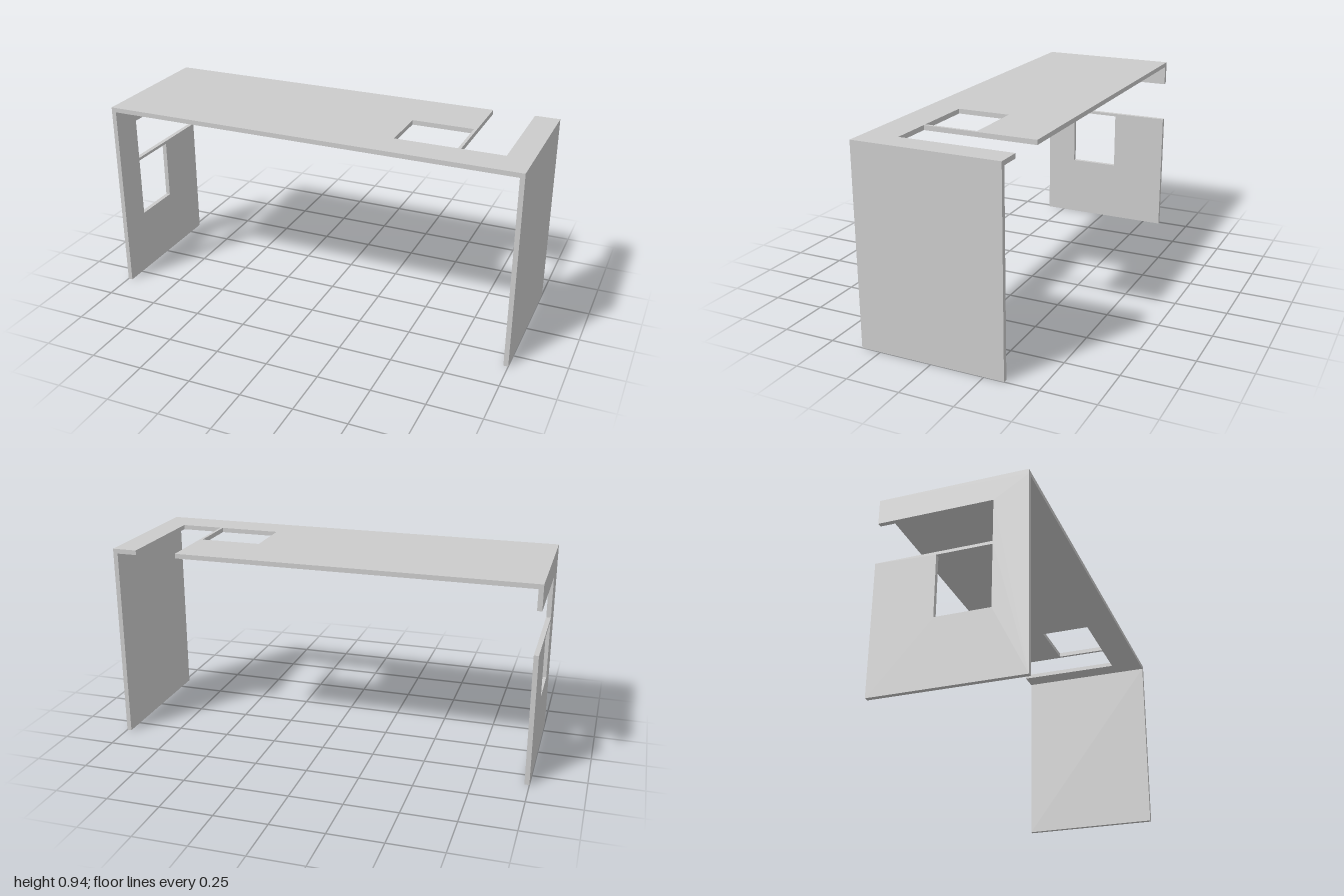
import * as THREE from 'three';

const H = 0.937;   // overall height
const D = 0.343;   // half depth
const T = 0.022;   // board thickness
const CUT_FRONT = 0.187, HOLE_BACK = -0.062; // depth limits of the cut-outs

// Board distances measured from the outer corner where it meets its neighbour
const SLOT = [0.118, 0.318], HOLE = [0.332, 0.624];

const material = new THREE.MeshStandardMaterial({ color: 0xcccccc });

const toPath = (points, Type) => new Type(points.map(([x, y]) => new THREE.Vector2(x, y)));

function board(name, outline, hole) {
  const shape = toPath(outline, THREE.Shape);
  if (hole) shape.holes.push(toPath(hole, THREE.Path));
  const geometry = new THREE.ExtrudeGeometry(shape, { depth: T, bevelEnabled: false });
  const mesh = new THREE.Mesh(geometry, material);
  mesh.name = name;
  return mesh;
}

export function createModel() {
  const group = new THREE.Group();
  group.name = 'desk';

  // Top board: slot open to the back and a window beside it, near +x
  const [s0, s1] = SLOT.map((d) => 1 - d);
  const [h0, h1] = HOLE.map((d) => 1 - d);
  const top = board('topBoard',
    [[-1, -D], [s1, -D], [s1, CUT_FRONT], [s0, CUT_FRONT], [s0, -D], [1, -D], [1, D], [-1, D]],
    [[h1, HOLE_BACK], [h1, CUT_FRONT], [h0, CUT_FRONT], [h0, HOLE_BACK]]);
  top.rotation.x = Math.PI / 2;
  top.position.y = H;

  // Side board at -x: the same cut-outs, measured down from the top
  const [a0, a1] = SLOT.map((d) => H - d);
  const [b0, b1] = HOLE.map((d) => H - d);
  const cutSide = board('rightSideBoard',
    [[-D, 0], [D, 0], [D, H - T], [-D, H - T], [-D, a0], [CUT_FRONT, a0], [CUT_FRONT, a1], [-D, a1]],
    [[HOLE_BACK, b1], [HOLE_BACK, b0], [CUT_FRONT, b0], [CUT_FRONT, b1]]);
  cutSide.rotation.y = -Math.PI / 2;
  cutSide.position.x = -1 + T;

  // Plain side board at +x
  const plainSide = board('leftSideBoard', [[-D, 0], [D, 0], [D, H - T], [-D, H - T]]);
  plainSide.rotation.y = -Math.PI / 2;
  plainSide.position.x = 1;

  group.add(top, cutSide, plainSide);
  return group;
}
